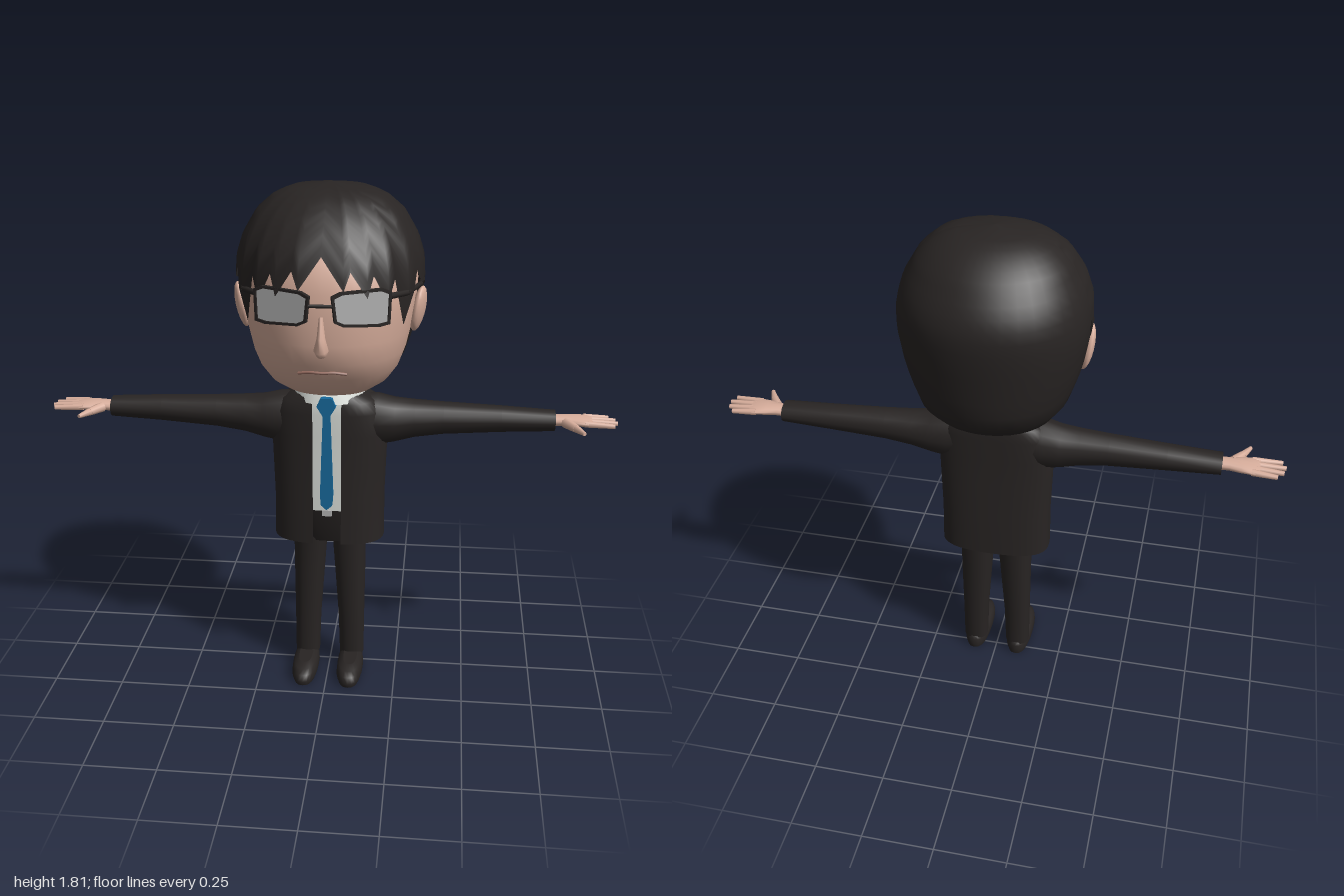
import * as THREE from 'three';

const mat = (color) => new THREE.MeshStandardMaterial({ color, side: THREE.DoubleSide });
const BLACK = mat(0x282423), SKIN = mat(0xd8ae9c), WHITE = mat(0xd9ddd8), BLUE = mat(0x17699c),
  LENS = mat(0xb4b4b4), LIP = mat(0x9a6f63);

function add(parent, name, geometry, material) {
  const m = new THREE.Mesh(geometry, material);
  m.name = name;
  parent.add(m);
  return m;
}

// Skin a list of equal-length rings; optionally wrap around and close the ends
function loft(rings, { closed = true, caps = false } = {}) {
  const list = [...rings], n = rings[0].length;
  if (caps) {
    const centre = (r) => {
      const c = r.reduce((s, p) => s.add(p), new THREE.Vector3()).divideScalar(n);
      return r.map(() => c);
    };
    const a = rings[0], b = rings[rings.length - 1];
    list.unshift(centre(a), a);
    list.push(b, centre(b));
  }
  const index = [], cols = closed ? n : n - 1;
  for (let j = 0; j < list.length - 1; j++) {
    for (let i = 0; i < cols; i++) {
      const a = j * n + i, b = j * n + (i + 1) % n;
      index.push(a, b, a + n, b, b + n, a + n);
    }
  }
  const g = new THREE.BufferGeometry().setFromPoints(list.flat());
  g.setIndex(index);
  g.computeVertexNormals();
  return g;
}

const pow = (v, n) => Math.sign(v) * Math.abs(v) ** (2 / n);

// Point on a horizontal superellipse with separate front and back depth
function rimPoint(t, y, rx, zf, zb, n = 2, cx = 0, cz = 0) {
  const c = pow(Math.cos(t), n);
  return new THREE.Vector3(cx + rx * pow(Math.sin(t), n), y, cz + (c > 0 ? c * (zf - cz) : -c * (zb - cz)));
}

// Horizontal ring, with an optional gap of half-width gap at the front
function ringY([y, rx, zf, zb, cx = 0, cz = 0], n = 2, seg = 28, gap = 0) {
  const t0 = gap ? Math.asin((gap / rx) ** (n / 2)) : 0;
  return Array.from({ length: seg }, (_, i) =>
    rimPoint(t0 + (2 * Math.PI - 2 * t0) * i / (gap ? seg - 1 : seg), y, rx, zf, zb, n, cx, cz));
}

// Vertical ring across the x axis
const ringX = ([x, y, ry, rz, z = 0], seg = 16) => Array.from({ length: seg }, (_, i) => {
  const t = 2 * Math.PI * i / seg;
  return new THREE.Vector3(x, y + ry * Math.cos(t), z + rz * Math.sin(t));
});

// Tapered rod between two points
function rod(parent, name, p, q, r0, r1, material) {
  const a = new THREE.Vector3(...p), d = new THREE.Vector3(...q).sub(a);
  const m = add(parent, name, new THREE.CylinderGeometry(r1, r0, d.length(), 8), material);
  m.position.copy(a).addScaledVector(d, 0.5);
  m.quaternion.setFromUnitVectors(new THREE.Vector3(0, 1, 0), d.normalize());
  return m;
}

// Piecewise linear lookup, first column ascending
function lookup(table, v) {
  let k = 0;
  while (k < table.length - 2 && v > table[k + 1][0]) k++;
  const a = table[k], b = table[k + 1];
  const f = THREE.MathUtils.clamp((v - a[0]) / (b[0] - a[0]), 0, 1);
  return a.map((s, i) => s + (b[i] - s) * f);
}

const outline = (pts) => new THREE.Shape(pts.map(([x, y]) => new THREE.Vector2(x, y)));

function hairGeometry() {
  // Height, half width, front depth, back depth
  const profile = [[1.09, 0.13, 0.11, -0.11], [1.15, 0.21, 0.2, -0.22], [1.22, 0.258, 0.26, -0.295],
    [1.35, 0.3, 0.305, -0.315], [1.48, 0.322, 0.322, -0.332], [1.57, 0.317, 0.312, -0.335],
    [1.64, 0.295, 0.278, -0.305], [1.72, 0.248, 0.205, -0.245], [1.77, 0.19, 0.135, -0.18],
    [1.795, 0.13, 0.075, -0.12], [1.81, 0, -0.02, -0.02]];
  // Angle from the front and height of the hem, giving the pointed fringe
  const hem = [[0, 1.62], [12, 1.515], [16, 1.575], [26, 1.49], [30, 1.56], [40, 1.465], [45, 1.54],
    [57, 1.375], [63, 1.48], [68, 1.545], [75, 1.5], [85, 1.49], [94, 1.47], [96, 1.1], [180, 1.09]];
  const half = hem.map((h) => h[0]);
  half.splice(-1, 0, 106, 116, 126, 136, 146, 156, 166, 174);
  const degrees = [...half, ...half.slice(1, -1).reverse().map((a) => 360 - a)];
  const rows = 20;
  return loft(Array.from({ length: rows + 1 }, (_, j) => degrees.map((deg) => {
    const bottom = lookup(hem, deg > 180 ? 360 - deg : deg)[1];
    const y = 1.81 - (1.81 - bottom) * (1 - j / rows) ** 1.7;
    const [, rx, zf, zb] = lookup(profile, y);
    return rimPoint(deg * Math.PI / 180, y, rx, zf, zb, 2.12, 0, -0.02);
  })));
}

function buildHead(g) {
  const rows = [[1.095, 0.1, 0.06, -0.08], [1.11, 0.15, 0.13, -0.12], [1.15, 0.205, 0.2, -0.17],
    [1.2, 0.24, 0.245, -0.22], [1.26, 0.262, 0.282, -0.26], [1.33, 0.278, 0.3, -0.28],
    [1.42, 0.293, 0.3, -0.29], [1.5, 0.298, 0.3, -0.29], [1.6, 0.28, 0.275, -0.28], [1.7, 0.2, 0.18, -0.2]];
  add(g, 'head', loft(rows.map((r) => ringY(r, 2.12, 36)), { caps: true }), SKIN);
  add(g, 'hair', hairGeometry(), BLACK);
  add(g, 'nose', loft([[1.295, 0.016, 0.31, 0.26], [1.318, 0.026, 0.343, 0.26], [1.36, 0.016, 0.325, 0.26],
    [1.43, 0.01, 0.305, 0.26]].map((r) => ringY([...r, 0, 0.28], 2, 10)), { caps: true }), SKIN);
  const lip = new THREE.CatmullRomCurve3([[-0.08, 1.228, 0.257], [-0.04, 1.235, 0.268], [0, 1.234, 0.272],
    [0.04, 1.235, 0.268], [0.08, 1.228, 0.257]].map((p) => new THREE.Vector3(...p)));
  add(g, 'mouth', new THREE.TubeGeometry(lip, 16, 0.005, 6), LIP);
  rod(g, 'glassesBridge', [-0.04, 1.47, 0.318], [0.04, 1.47, 0.318], 0.006, 0.006, BLACK);
}

function buildHeadSide(g) {
  const ear = add(g, 'ear', new THREE.SphereGeometry(1, 14, 10), SKIN);
  ear.scale.set(0.022, 0.082, 0.052);
  ear.position.set(0.302, 1.392, 0.015);
  ear.rotation.set(0.12, -0.25, -0.16);

  // Lens, rim and temple of the glasses
  const corners = [[-0.1, 0.045], [-0.07, 0.058], [0.07, 0.063], [0.1, 0.05], [0.096, -0.055],
    [0.06, -0.062], [-0.06, -0.055], [-0.09, -0.04]];
  const rim = outline(corners);
  const inner = corners.map(([x, y]) => [x * 0.91, y * 0.86]);
  rim.holes.push(outline(inner));
  const eye = new THREE.Group();
  eye.name = 'glassesEye';
  eye.position.set(0.125, 1.457, 0.279);
  eye.rotation.y = 0.375;
  g.add(eye);
  add(eye, 'rim', new THREE.ExtrudeGeometry(rim, { depth: 0.014, bevelEnabled: false }), BLACK);
  add(eye, 'lens', new THREE.ShapeGeometry(outline(inner)), LENS).position.z = 0.008;
  rod(g, 'templeHinge', [0.215, 1.49, 0.245], [0.268, 1.485, 0.17], 0.01, 0.01, BLACK);
  rod(g, 'templeArm', [0.268, 1.485, 0.17], [0.308, 1.475, 0.0], 0.01, 0.008, BLACK);
}

function buildTorso(g) {
  const coat = [[0.545, 0.198, 0.127, -0.1], [0.7, 0.197, 0.122, -0.095], [0.85, 0.202, 0.12, -0.088],
    [0.95, 0.205, 0.122, -0.086], [1.03, 0.195, 0.124, -0.086], [1.07, 0.165, 0.122, -0.084],
    [1.095, 0.118, 0.115, -0.08]];
  add(g, 'jacket', loft(coat.map((r) => ringY(r, 2.7, 40, 0.05)), { closed: false }), BLACK);
  const shirt = coat.slice(1).map(([y, rx, zf, zb]) => [Math.max(y, 0.67), rx * 0.9, zf - 0.008, zb + 0.012]);
  shirt[0][0] = 0.67;
  add(g, 'shirt', loft(shirt.map((r) => ringY(r, 2.7, 40)), { caps: true }), WHITE);
  add(g, 'collar', loft([[1.075, 0.13, 0.133, -0.085], [1.115, 0.118, 0.118, -0.085]]
    .map((r) => ringY(r, 2.2, 28, 0.015)), { closed: false }), WHITE);
  add(g, 'neck', loft([[1.04, 0.09, 0.085, -0.07], [1.14, 0.1, 0.09, -0.08]].map((r) => ringY(r))), SKIN);

  // Tie with knot
  const blade = outline([[-0.012, 1.05], [-0.023, 0.74], [-0.02, 0.7], [0, 0.682], [0.02, 0.7], [0.023, 0.74], [0.012, 1.05]]);
  add(g, 'tie', new THREE.ExtrudeGeometry(blade, { depth: 0.018, bevelEnabled: false }), BLUE).position.z = 0.117;
  const knot = outline([[-0.02, 1.1], [-0.033, 1.07], [-0.012, 1.035], [0.012, 1.035], [0.033, 1.07], [0.02, 1.1]]);
  add(g, 'tieKnot', new THREE.ExtrudeGeometry(knot, { depth: 0.024, bevelEnabled: false }), BLUE).position.z = 0.117;

  add(g, 'hips', loft([[0.53, 0.11, 0.07, -0.07], [0.6, 0.135, 0.095, -0.08], [0.675, 0.145, 0.112, -0.085]]
    .map((r) => ringY(r, 2.4)), { caps: true }), BLACK);
  add(g, 'beltBuckle', new THREE.BoxGeometry(0.034, 0.022, 0.012), LENS).position.set(0, 0.662, 0.113);
}

function buildLimbs(g) {
  const sleeve = [[0.1, 0.995, 0.09, 0.08, 0.01], [0.17, 0.99, 0.093, 0.082, 0.01], [0.23, 0.988, 0.08, 0.074, 0.008],
    [0.3, 0.994, 0.067, 0.066, 0.006], [0.4, 0.998, 0.057, 0.058, 0.004], [0.6, 1, 0.046, 0.05], [0.785, 1, 0.036, 0.046]];
  add(g, 'sleeve', loft(sleeve.map((r) => ringX(r))), BLACK);

  // Hand with four fingers and a thumb
  const palm = [[0.74, 1, 0.02, 0.028], [0.81, 1.002, 0.019, 0.03], [0.85, 1.003, 0.018, 0.042],
    [0.89, 1.003, 0.014, 0.05], [0.912, 1.002, 0.01, 0.048]];
  add(g, 'palm', loft(palm.map((r) => ringX(r, 14)), { caps: true }), SKIN);
  [[-0.036, -0.044, 0.972], [-0.012, -0.017, 0.993], [0.012, 0.014, 0.999], [0.036, 0.044, 0.987]].forEach(([z0, z1, x]) =>
    rod(g, 'finger', [0.885, 1.003, z0], [x, 1, z1], 0.0125, 0.0085, SKIN));
  rod(g, 'thumb', [0.82, 1, 0.02], [0.852, 0.998, 0.07], 0.018, 0.014, SKIN);
  rod(g, 'thumbTip', [0.85, 0.998, 0.066], [0.877, 0.997, 0.118], 0.014, 0.007, SKIN);

  // Trouser leg and shoe
  const leg = [[0.045, 0.045, 0.052, -0.038, 0.083, 0.007], [0.2, 0.048, 0.056, -0.045, 0.081, 0.005],
    [0.4, 0.056, 0.064, -0.062, 0.075, 0], [0.55, 0.062, 0.072, -0.072, 0.07, 0], [0.6, 0.066, 0.078, -0.075, 0.068, 0]];
  add(g, 'leg', loft(leg.map((r) => ringY(r, 2.3, 20)), { caps: true }), BLACK);
  const shoe = [[0, 0.042, 0.205, -0.043, 0.083, 0.08], [0.018, 0.048, 0.212, -0.047, 0.083, 0.08],
    [0.04, 0.046, 0.203, -0.045, 0.083, 0.08], [0.053, 0.038, 0.18, -0.04, 0.083, 0.08], [0.06, 0.025, 0.14, -0.03, 0.083, 0.07]];
  add(g, 'shoe', loft(shoe.map((r) => ringY(r, 2.5, 24)), { caps: true }), BLACK);
}

export function createModel() {
  const model = new THREE.Group();
  model.name = 'figure';
  buildHead(model);
  buildTorso(model);
  for (const [name, side] of [['leftSide', 1], ['rightSide', -1]]) {
    const g = new THREE.Group();
    g.name = name;
    g.scale.x = side;
    buildHeadSide(g);
    buildLimbs(g);
    model.add(g);
  }
  return model;
}
